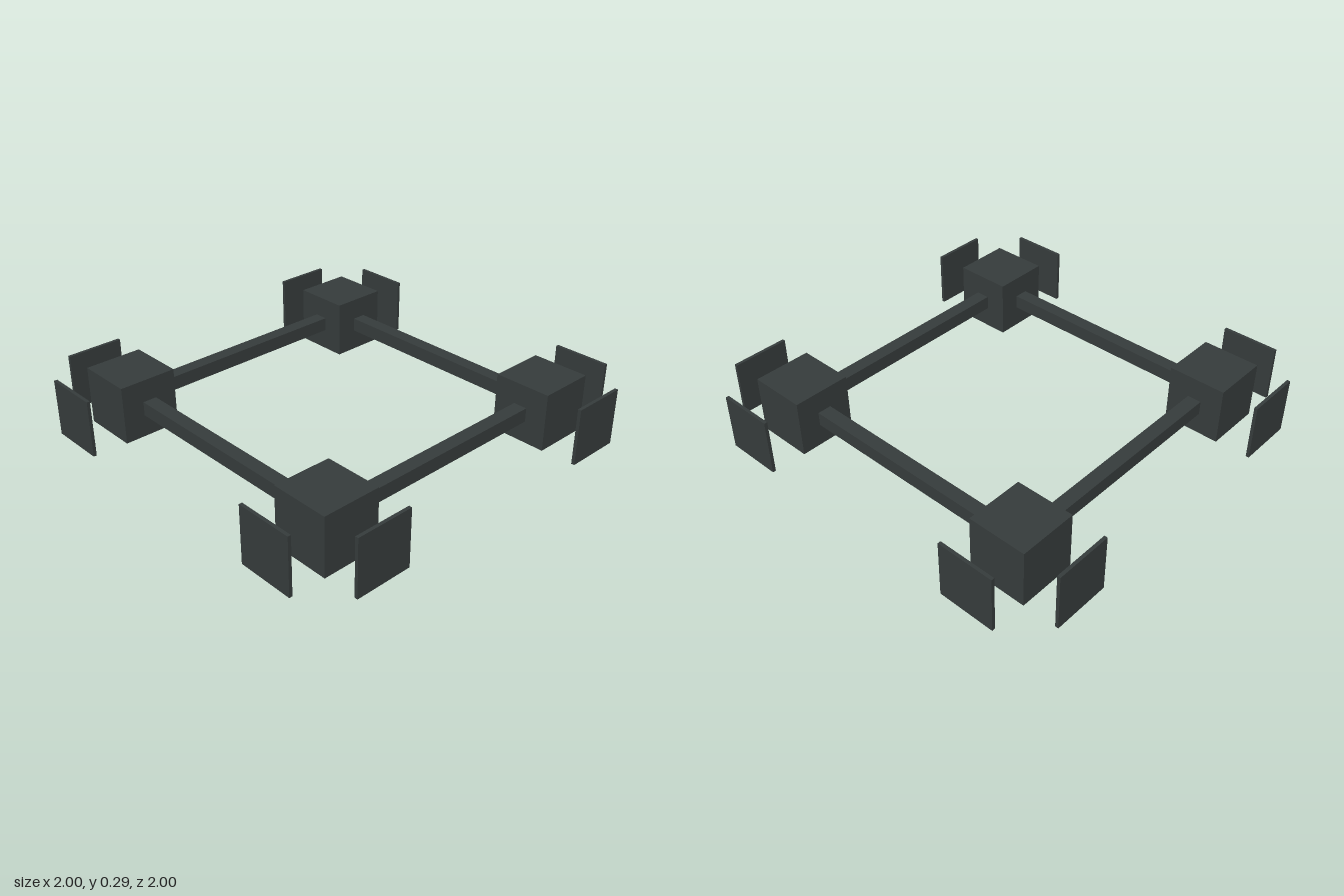
import * as THREE from 'three';

export function createModel() {
  const model = new THREE.Group();
  const darkSlate = new THREE.MeshStandardMaterial({ color: 0x353b3b });
  darkSlate.name = 'darkSlate';

  const cube = 0.288, panel = 0.282, thick = 0.016, bar = 0.07;
  const corner = 0.679, midY = cube / 2;

  const addBox = (parent, name, w, h, d, x, y, z) => {
    const mesh = new THREE.Mesh(new THREE.BoxGeometry(w, h, d), darkSlate);
    mesh.name = name;
    mesh.position.set(x, y, z);
    parent.add(mesh);
  };

  // Corner cubes, each with two floating outer panels
  for (const sx of [-1, 1]) {
    for (const sz of [-1, 1]) {
      const group = new THREE.Group();
      group.name = 'corner' + (sz > 0 ? 'Front' : 'Back') + (sx > 0 ? 'Left' : 'Right');
      group.position.set(sx * corner, midY, sz * corner);
      const out = 1 - thick / 2 - corner;
      addBox(group, 'cornerCube', cube, cube, cube, 0, 0, 0);
      addBox(group, 'sidePanel', thick, panel, panel, sx * out, 0, 0);
      addBox(group, 'endPanel', panel, panel, thick, 0, 0, sz * out);
      model.add(group);
    }
  }

  // Connecting bars between the cubes
  const length = 2 * corner - cube;
  for (const s of [-1, 1]) {
    addBox(model, s > 0 ? 'frontBar' : 'backBar', length, bar, bar, 0, midY, s * corner);
    addBox(model, s > 0 ? 'leftBar' : 'rightBar', bar, bar, length, s * corner, midY, 0);
  }
  return model;
}
